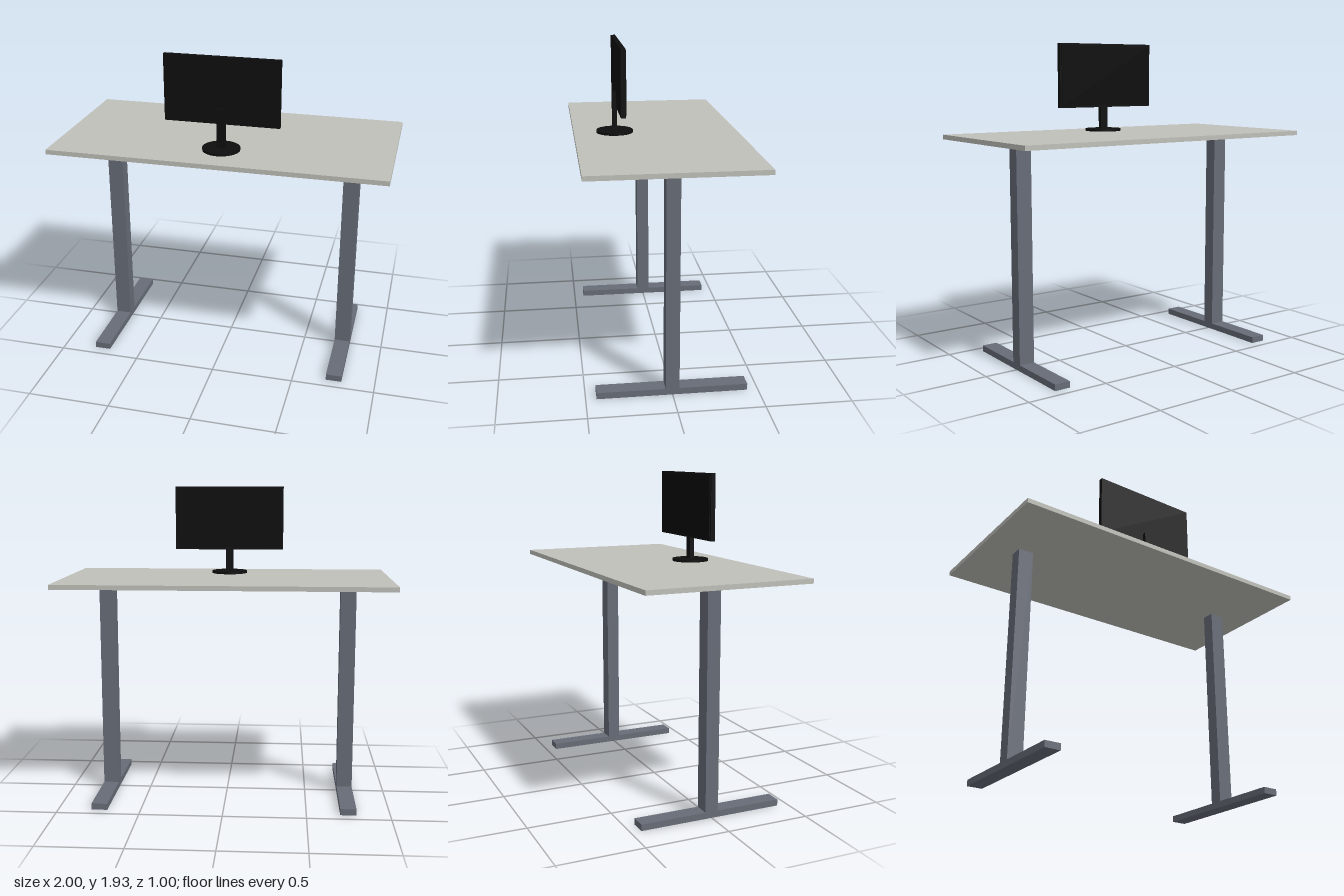
import * as THREE from 'three';

export function createModel() {
  const model = new THREE.Group();
  model.name = 'standingDesk';

  const material = (name, color) => {
    const m = new THREE.MeshStandardMaterial({ color });
    m.name = name;
    return m;
  };
  const top = material('warm grey top', 0xc0c0ba);
  const metal = material('slate metal', 0x676c77);
  const plastic = material('black plastic', 0x0e0e0e);
  const glass = material('dark screen', 0x090909);

  const add = (parent, name, geometry, mat, x, y, z) => {
    const mesh = new THREE.Mesh(geometry, mat);
    mesh.name = name;
    mesh.position.set(x, y, z);
    parent.add(mesh);
  };
  // Box given by its centre in x and z and its bottom and top in y
  const box = (parent, name, mat, w, d, y0, y1, x, z) =>
    add(parent, name, new THREE.BoxGeometry(w, y1 - y0, d), mat, x, (y0 + y1) / 2, z);

  box(model, 'deskTop', top, 2, 1, 1.347, 1.375, 0, 0);

  // T-shaped legs
  for (const side of [-1, 1]) {
    const leg = new THREE.Group();
    leg.name = side > 0 ? 'leftLeg' : 'rightLeg';
    leg.position.x = side * 0.75;
    box(leg, 'foot', metal, 0.096, 0.875, 0, 0.038, 0, 0);
    box(leg, 'column', metal, 0.096, 0.08, 0.038, 1.347, 0, 0);
    model.add(leg);
  }

  // Monitor, its screen facing the back edge
  const monitor = new THREE.Group();
  monitor.name = 'monitor';
  add(monitor, 'standBase', new THREE.CylinderGeometry(0.112, 0.112, 0.015, 32), plastic, 0, 1.3825, 0.25);
  box(monitor, 'standNeck', plastic, 0.048, 0.028, 1.39, 1.625, 0, 0.25);
  box(monitor, 'housing', plastic, 0.688, 0.028, 1.528, 1.926, 0, 0.226);
  box(monitor, 'screen', glass, 0.664, 0.005, 1.54, 1.914, 0, 0.2095);
  model.add(monitor);

  return model;
}
